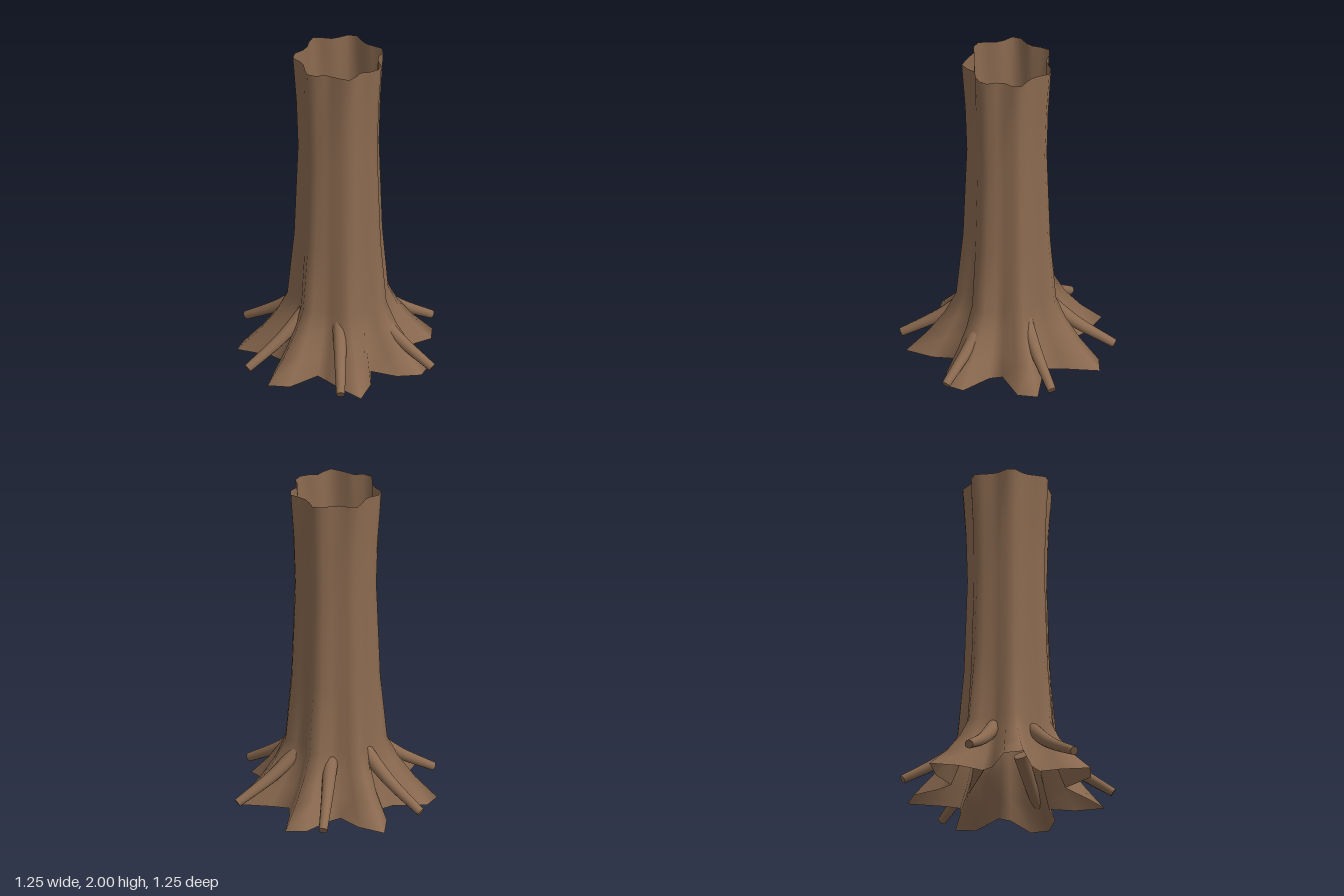
import * as THREE from 'three';
import { mergeVertices } from 'three/addons/utils/BufferGeometryUtils.js';

const bark = new THREE.MeshStandardMaterial({ color: 0x8b6a50, side: THREE.DoubleSide });
bark.name = 'bark';

// Radius of the flared foot every 11.25 degrees, from +z towards +x
const FOOT = [
  0.612, 0.543, 0.35, 0.395, 0.48, 0.61, 0.469, 0.33,
  0.475, 0.58, 0.57, 0.388, 0.358, 0.558, 0.602, 0.424,
  0.352, 0.424, 0.617, 0.563, 0.41, 0.36, 0.5, 0.633,
  0.49, 0.36, 0.385, 0.574, 0.609, 0.41, 0.366, 0.469,
];

// Trunk rings: height, mean radius, depth of the lobes
const RINGS = [
  [0, 0.47, 0.14], [0.13, 0.383, 0.095], [0.26, 0.318, 0.06], [0.39, 0.275, 0.035],
  [0.8, 0.249, 0.02], [1.4, 0.233, 0.013], [1.7, 0.238, 0.018], [2, 0.25, 0.027],
];

// Open hollow trunk whose lobes widen into buttresses at the foot
function trunkGeometry() {
  const rows = RINGS.length - 1;
  let geo = new THREE.CylinderGeometry(1, 1, rows, FOOT.length, rows, true);
  geo.deleteAttribute('uv');
  geo.deleteAttribute('normal');
  geo = mergeVertices(geo);
  const p = geo.attributes.position;
  for (let i = 0; i < p.count; i++) {
    const angle = Math.atan2(p.getX(i), p.getZ(i));
    const k = (Math.round(angle / (2 * Math.PI) * FOOT.length) + FOOT.length) % FOOT.length;
    const [y, mean, depth] = RINGS[Math.round(p.getY(i) + rows / 2)];
    const r = mean + depth * (FOOT[k] - 0.47) / 0.14;
    p.setXYZ(i, r * Math.sin(angle), y, r * Math.cos(angle));
  }
  geo.computeVertexNormals();
  return geo;
}

// Tapered, slightly bent root running outwards along +z
function rootGeometry() {
  const path = new THREE.CatmullRomCurve3([
    new THREE.Vector3(0, 0.345, 0.215),
    new THREE.Vector3(0, 0.19, 0.4),
    new THREE.Vector3(0, 0.05, 0.633),
  ]);
  const geo = new THREE.CylinderGeometry(0.026, 0.047, 1, 12, 8);
  const p = geo.attributes.position;
  for (let i = 0; i < p.count; i++) {
    const t = THREE.MathUtils.clamp(p.getY(i) + 0.5, 0, 1);
    const c = path.getPoint(t);
    const d = path.getTangent(t);
    const n = p.getZ(i);
    p.setXYZ(i, p.getX(i), c.y - d.z * n, c.z + d.y * n);
  }
  geo.computeVertexNormals();
  return geo;
}

export function createModel() {
  const model = new THREE.Group();
  model.name = 'treeTrunk';

  const trunk = new THREE.Mesh(trunkGeometry(), bark);
  trunk.name = 'trunk';
  model.add(trunk);

  // Six roots evenly spaced around the foot
  const rootShape = rootGeometry();
  for (let i = 0; i < 6; i++) {
    const root = new THREE.Mesh(rootShape, bark);
    root.name = 'root' + (i + 1);
    root.rotation.y = THREE.MathUtils.degToRad(-15.3 + i * 60);
    model.add(root);
  }
  return model;
}
